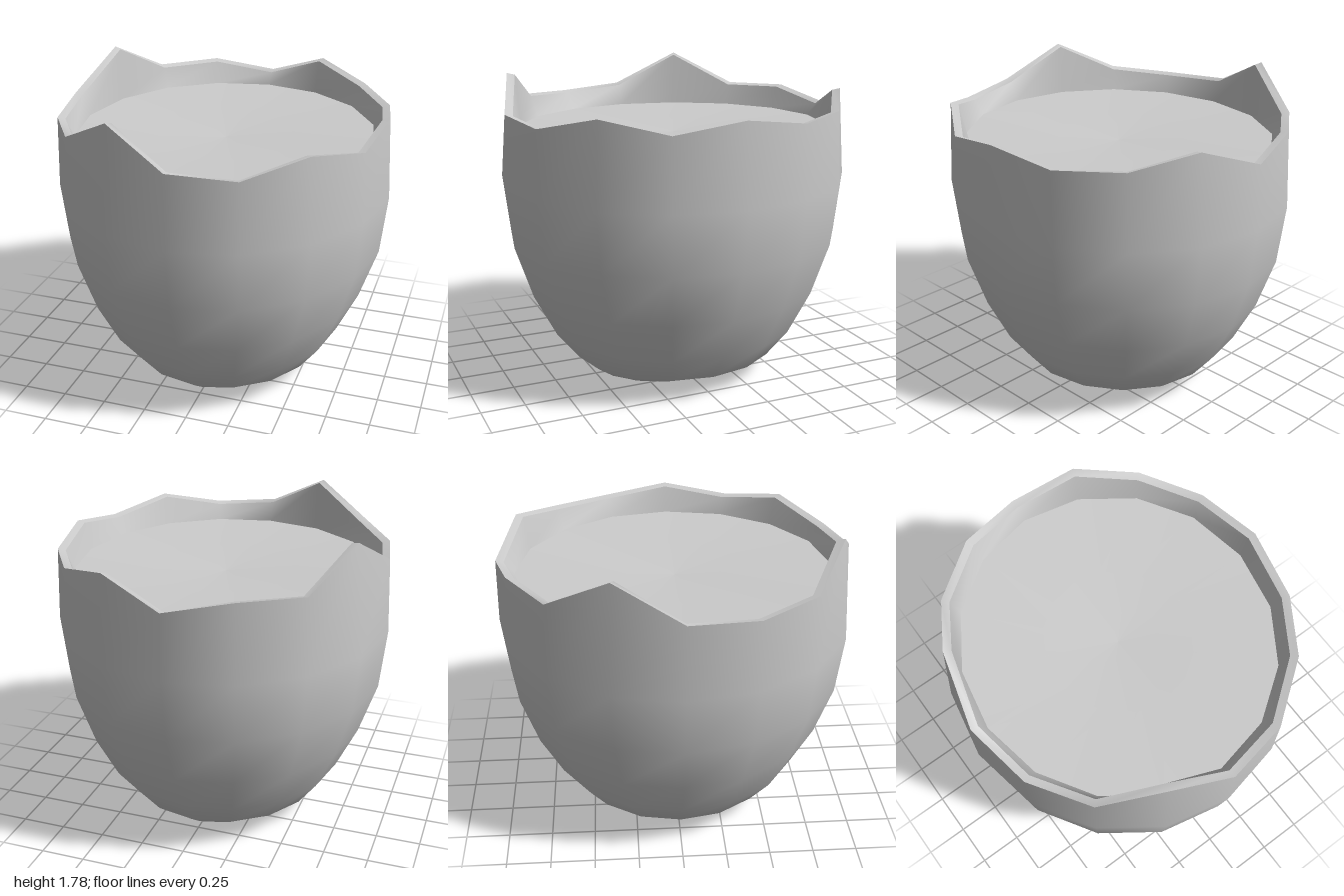
import * as THREE from 'three';

const SIDES = 16;
const material = new THREE.MeshStandardMaterial({ color: 0xcccccc, side: THREE.DoubleSide });

// Height of the broken edge at each corner, from the front round through +x
const EDGE = [1.58, 1.555, 1.635, 1.565, 1.625, 1.575, 1.59, 1.665,
  1.535, 1.6, 1.59, 1.78, 1.59, 1.57, 1.59, 1.76];

// A ring of points; rx, rz and y may each be a number or a rule per corner
function ring(rx, rz, y) {
  const at = (v, k) => (typeof v === 'function' ? v(k) : v);
  return Array.from({ length: SIDES }, (_, k) => {
    const a = (k / SIDES) * Math.PI * 2;
    return [at(rx, k) * Math.sin(a), at(y, k), at(rz, k) * Math.cos(a)];
  });
}

// Smooth closed skin through a stack of rings
function loft(name, rings) {
  const index = [];
  for (let i = 0; i < rings.length - 1; i++) {
    for (let k = 0; k < SIDES; k++) {
      const n = (k + 1) % SIDES;
      const a = i * SIDES + k, b = i * SIDES + n;
      index.push(a, b, b + SIDES, a, b + SIDES, a + SIDES);
    }
  }
  const geometry = new THREE.BufferGeometry();
  geometry.setAttribute('position', new THREE.Float32BufferAttribute(rings.flat(2), 3));
  geometry.setIndex(index);
  geometry.computeVertexNormals();
  const mesh = new THREE.Mesh(geometry, material);
  mesh.name = name;
  return mesh;
}

export function createModel() {
  const group = new THREE.Group();
  group.name = 'brokenEggshell';

  // The wall leans inwards towards the higher points of the edge
  const lean = (k) => 0.985 - 0.2 * (EDGE[k] - 1.57);
  const outerEdge = ring((k) => lean(k) * 0.945, lean, (k) => EDGE[k]);
  const innerEdge = ring((k) => (lean(k) - 0.045) * 0.945, (k) => lean(k) - 0.045, (k) => EDGE[k] - 0.01);

  // Outer shell: x radius, z radius, height; the base closes in a short ridge
  const profile = [
    [0, 0.35, 0], [0.37, 0.48, 0.03], [0.57, 0.6, 0.12], [0.69, 0.73, 0.28],
    [0.81, 0.86, 0.53], [0.91, 0.96, 0.83], [0.945, 1, 1.17],
  ];
  group.add(loft('outerShell', [...profile.map((p) => ring(...p)), outerEdge]));

  // Jagged edge and inner wall
  group.add(loft('brokenEdge', [outerEdge, innerEdge]));
  group.add(loft('innerWall', [innerEdge, ring(0.842, 0.89, 1.46)]));

  // Shallow dished filling
  group.add(loft('filling', [ring(0.842, 0.89, 1.46), ring(0.4, 0.42, 1.44), ring(0, 0, 1.42)]));

  return group;
}
